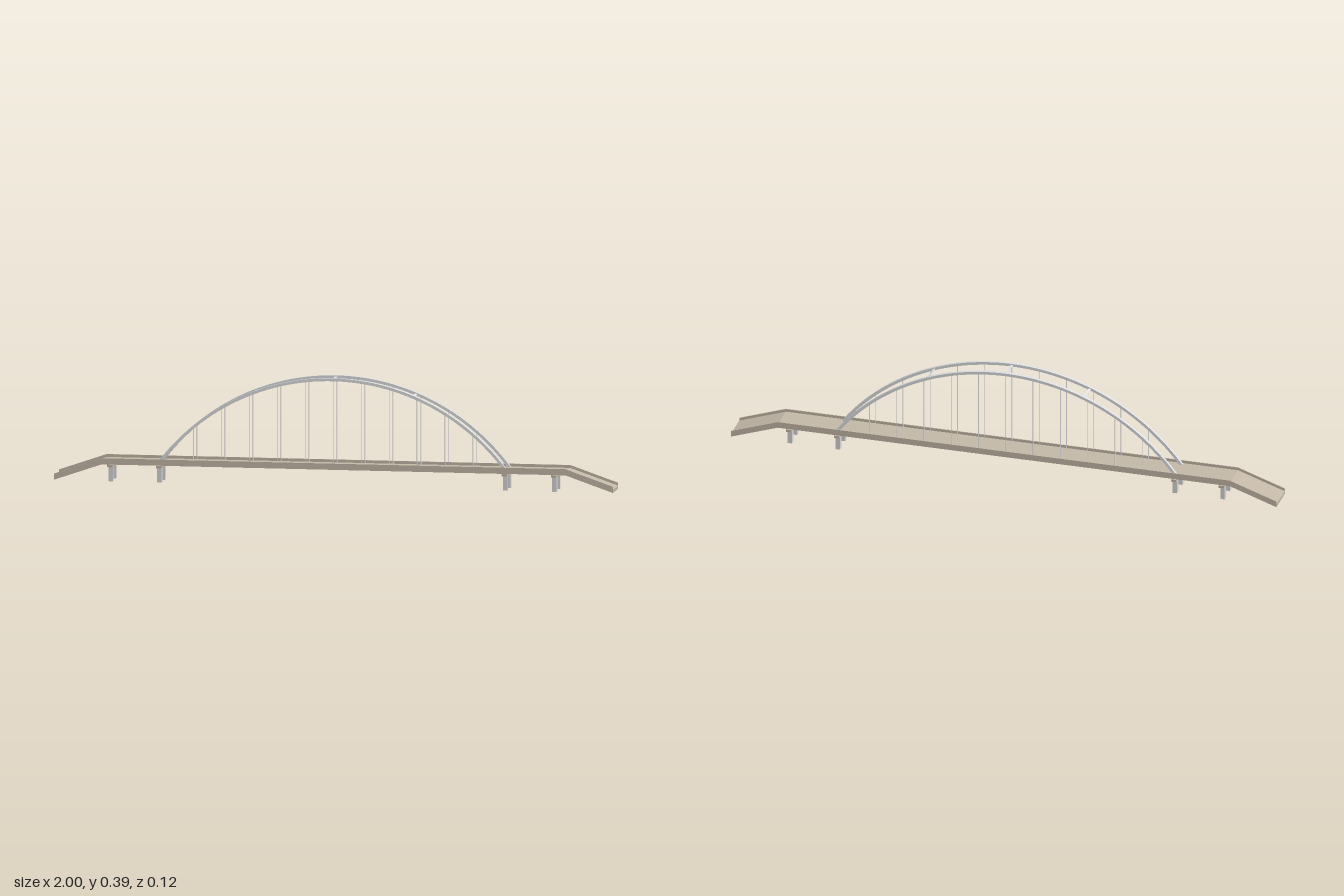
import * as THREE from 'three';

const mat = (name, color) => Object.assign(new THREE.MeshStandardMaterial({ color }), { name });

export function createModel() {
  const concrete = mat('warm concrete', 0xc2b7a6);
  const steel = mat('light steel', 0xdcdde0);
  const stone = mat('pier grey', 0xd4d4d4);

  const bridge = new THREE.Group();
  bridge.name = 'archBridge';
  const add = (name, geometry, material, x = 0, y = 0, z = 0) => {
    const mesh = new THREE.Mesh(geometry, material);
    mesh.name = name;
    mesh.position.set(x, y, z);
    bridge.add(mesh);
    return mesh;
  };

  // Deck and parapets: one bent side profile, sloping down to both ends
  const bend = 0.829, rise = 0.059;
  const profile = (low, high) => new THREE.Shape([
    [-1, low], [-bend, low + rise], [bend, low + rise], [1, low],
    [1, high], [bend, high + rise], [-bend, high + rise], [-1, high],
  ].map(([x, y]) => new THREE.Vector2(x, y)));
  const extrude = (shape, depth, curveSegments = 12) => {
    const g = new THREE.ExtrudeGeometry(shape, { depth, bevelEnabled: false, curveSegments });
    return g.translate(0, 0, -depth / 2);
  };
  add('deck', extrude(profile(0.002, 0.014), 0.102), concrete);
  for (const side of [-1, 1]) {
    add('parapet', extrude(profile(0.002, 0.024), 0.0035), concrete, 0, 0, side * 0.05275);
  }

  // Pair of circular arches, square in section
  const archX = -0.005, archR = 0.7758, centreY = -0.3956, half = 0.005;
  const archMidZ = 0.0015, archZ = 0.0395;
  const archY = x => centreY + Math.sqrt(archR ** 2 - (x - archX) ** 2);
  const start = Math.asin((0.07 - centreY) / archR);
  const rib = new THREE.Shape();
  rib.absarc(0, 0, archR + half, start, Math.PI - start, false);
  rib.absarc(0, 0, archR - half, Math.PI - start, start, true);
  const ribGeometry = extrude(rib, 0.011, 64);
  const hangerGeometry = new THREE.CylinderGeometry(0.0014, 0.0014, 1, 8);
  for (const side of [-1, 1]) {
    const z = archMidZ + side * archZ;
    add('archRib', ribGeometry, steel, archX, centreY, z);

    // Vertical hangers from arch to deck
    for (let i = -5; i <= 5; i++) {
      const x = i * 0.1 - 0.003;
      const top = archY(x), bottom = 0.072;
      add('hanger', hangerGeometry, steel, x, (top + bottom) / 2, z).scale.y = top - bottom;
    }
  }

  // Slim braces between the arches, tilted along the curve
  for (const x of [-0.29, -0.004, 0.282]) {
    const brace = add('archBrace', new THREE.BoxGeometry(0.009, 0.003, 0.07), steel, x, archY(x), archMidZ);
    brace.rotation.z = -Math.asin((x - archX) / archR);
  }

  // Piers: a crossbeam on two square columns
  for (const x of [-0.799, -0.624, 0.612, 0.788]) {
    add('pierBeam', new THREE.BoxGeometry(0.019, 0.009, 0.12), concrete, x, 0.0567, 0);
    for (const side of [-1, 1]) {
      add('pierColumn', new THREE.BoxGeometry(0.016, 0.053, 0.018), stone, x, 0.0265, side * 0.034);
    }
  }
  return bridge;
}
